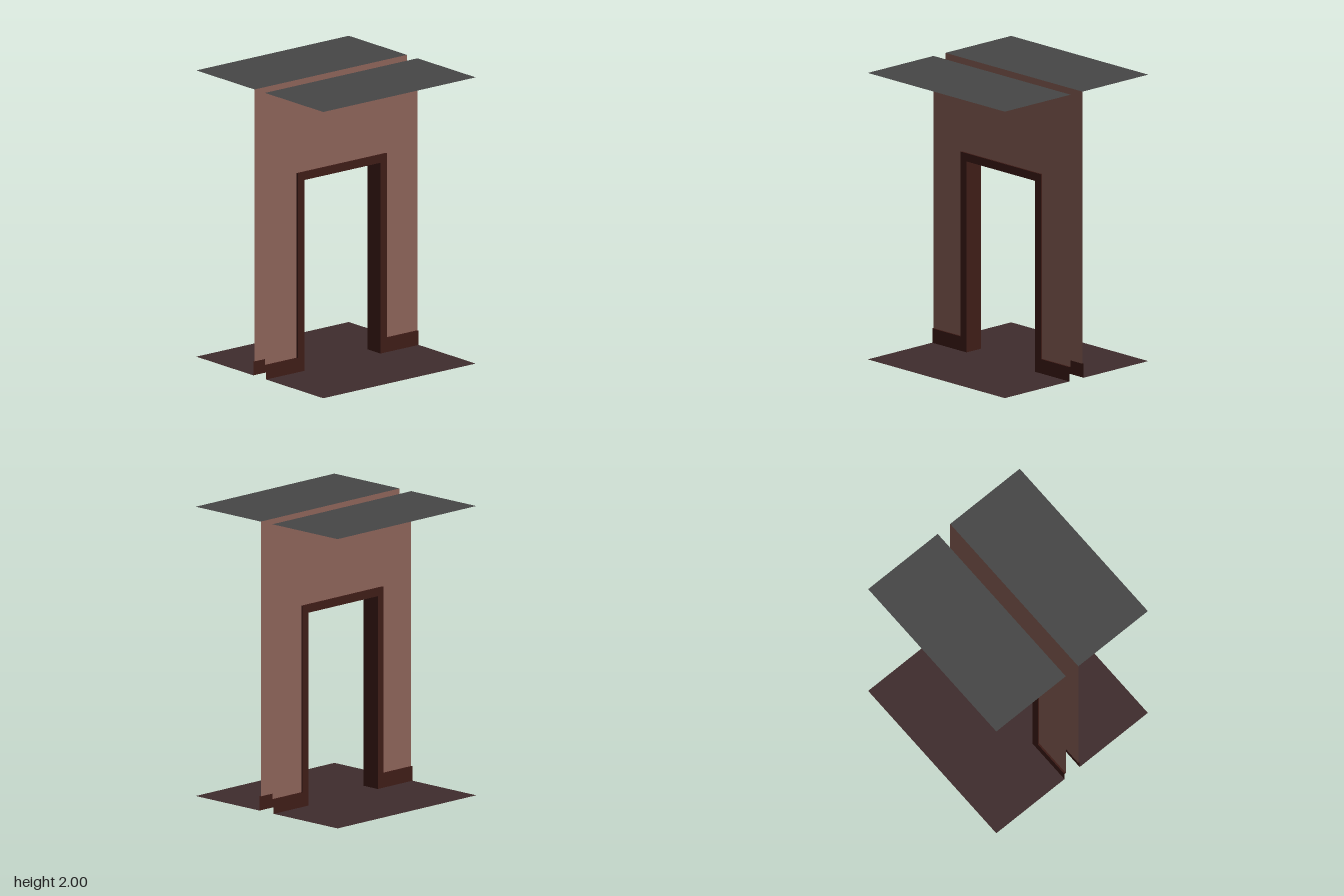
import * as THREE from 'three';

const HALF = 0.667;               // half the room's depth and width
const WALL = 0.055, TRIM = 0.067; // x of the wall sheet and of the trim face
const DOOR = 0.333, DOOR_TOP = 1.333;
const FRAME = 0.39, FRAME_TOP = 1.39, BASE = 0.1;

const paint = (color) => new THREE.MeshStandardMaterial({ color, side: THREE.DoubleSide });

function part(name, geometry, material) {
  const mesh = new THREE.Mesh(geometry, material);
  mesh.name = name;
  return mesh;
}

// Flat sheet from an outline
function sheet(points) {
  return new THREE.ShapeGeometry(new THREE.Shape(points.map(([u, v]) => new THREE.Vector2(u, v))));
}

// Upright sheet facing +x; the outline is given as [z, y]
const upright = (points, x) => sheet(points).rotateY(Math.PI / 2).translate(x, 0, 0);

// Flat-shaded strip along a [z, y] path, spanning x0 to x1
function strip(path, x0, x1) {
  const p = [];
  for (let i = 0; i + 1 < path.length; i++) {
    const [za, ya] = path[i], [zb, yb] = path[i + 1];
    p.push(x0, ya, za, x1, ya, za, x1, yb, zb);
    p.push(x0, ya, za, x1, yb, zb, x0, yb, zb);
  }
  const g = new THREE.BufferGeometry();
  g.setAttribute('position', new THREE.Float32BufferAttribute(p, 3));
  g.computeVertexNormals();
  return g;
}

export function createModel() {
  const model = new THREE.Group();
  model.name = 'doorwaySection';
  const wallPaint = paint(0x8b6258);
  const wood = paint(0x3e1c17);
  const ceilingPaint = paint(0x464646);
  const floorPaint = paint(0x3f2c2d);

  // Edge shared by the wall, the door casing and the skirting
  const edge = [[HALF, BASE], [FRAME, BASE], [FRAME, FRAME_TOP],
    [-FRAME, FRAME_TOP], [-FRAME, BASE], [-HALF, BASE]];
  // Door opening
  const opening = [[-DOOR, 0], [-DOOR, DOOR_TOP], [DOOR, DOOR_TOP], [DOOR, 0]];

  // Both faces of the partition, the second turned half around
  for (const [name, turn] of [['left', 0], ['right', Math.PI]]) {
    const side = new THREE.Group();
    side.name = name + 'Side';
    side.rotation.y = turn;
    side.add(part('wall', upright([...edge, [-HALF, 2], [HALF, 2]], WALL), wallPaint));
    side.add(part('casingAndSkirting',
      upright([...edge, [-HALF, 0], ...opening, [HALF, 0]], TRIM), wood));
    side.add(part('trimEdge', strip(edge, WALL, TRIM), wood));
    const ceiling = new THREE.PlaneGeometry(HALF - WALL, 2 * HALF)
      .rotateX(-Math.PI / 2).translate((HALF + WALL) / 2, 2, 0);
    side.add(part('ceiling', ceiling, ceilingPaint));
    model.add(side);
  }

  // Jambs and lintel through the wall
  model.add(part('doorLining', strip(opening, -TRIM, TRIM), wood));

  // Floor, slotted where the wall cavity stands
  const floor = sheet([
    [-HALF, -HALF], [-TRIM, -HALF], [-TRIM, -DOOR], [TRIM, -DOOR], [TRIM, -HALF], [HALF, -HALF],
    [HALF, HALF], [TRIM, HALF], [TRIM, DOOR], [-TRIM, DOOR], [-TRIM, HALF], [-HALF, HALF],
  ]).rotateX(-Math.PI / 2);
  model.add(part('floor', floor, floorPaint));

  return model;
}
